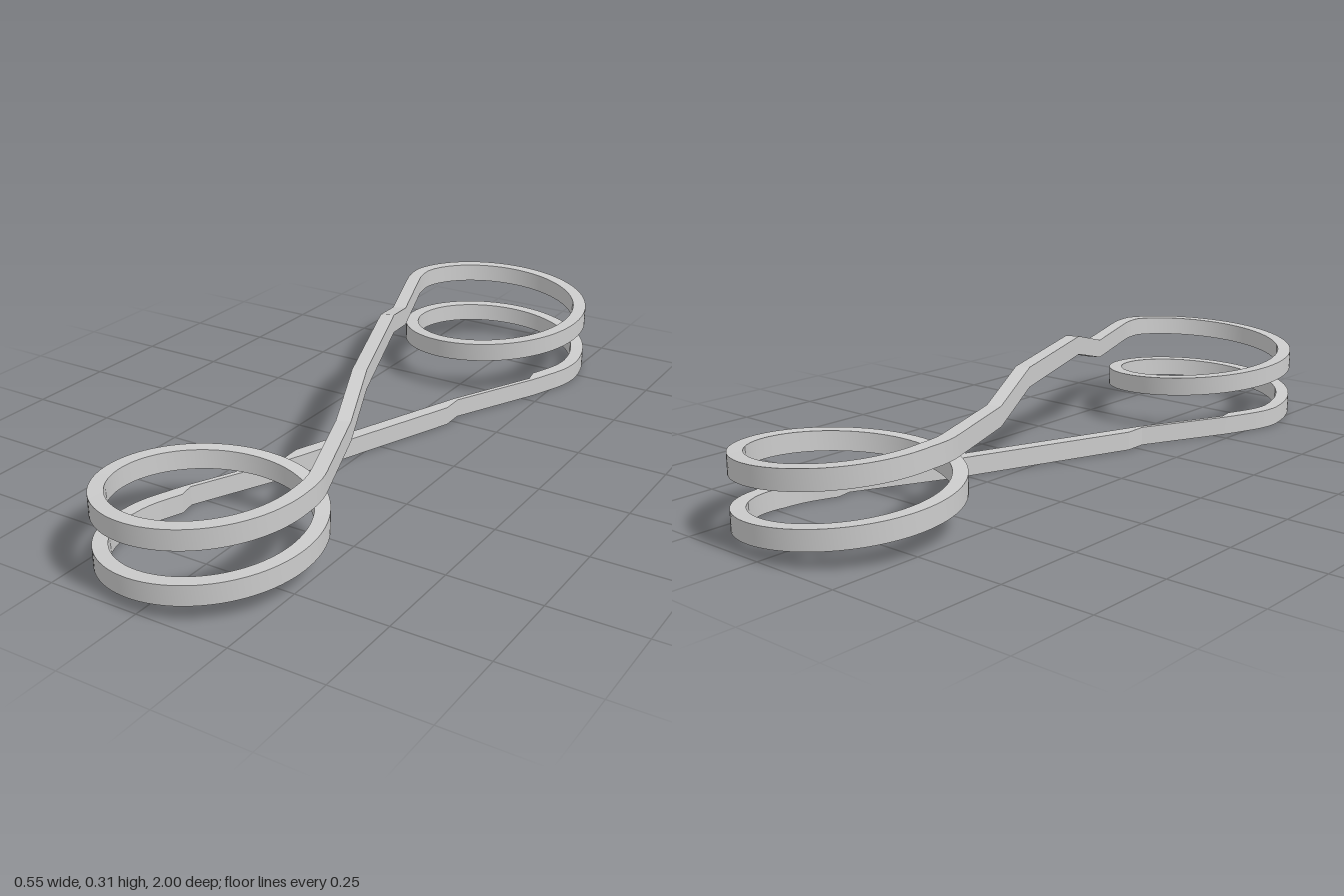
import * as THREE from 'three';

const R = 0.2585;          // centreline radius of the coils
const HALF = 0.0188;       // half thickness of the strip
const H = 0.052;           // strip height
const CZ = 0.7215;         // coil centre distance
const RISE = 0.205;        // height of the upper arm's underside
const TILT = Math.asin(R / CZ);             // arms are tangent to both coils
const END = CZ * Math.cos(TILT) ** 2;       // z of the tangent points

// Sweeps an upright rectangle along sections { x, y, z, nx, nz, w };
// each of the four sides has its own vertices, so long edges stay sharp.
function strip(name, sections, flat) {
  const pos = [], index = [];
  const corner = (s, k) => {
    const side = k === 1 || k === 2 ? s.w : -s.w;
    return [s.x + s.nx * side, s.y + (k > 1 ? H : 0), s.z + s.nz * side];
  };
  for (let k = 0; k < 4; k++) {
    const base = pos.length / 3;
    for (const s of sections) pos.push(...corner(s, k), ...corner(s, (k + 1) % 4));
    for (let i = 0; i < sections.length - 1; i++) {
      const a = base + 2 * i;
      index.push(a, a + 1, a + 3, a, a + 3, a + 2);
    }
  }
  const g = new THREE.BufferGeometry();
  g.setAttribute('position', new THREE.Float32BufferAttribute(pos, 3));
  g.setIndex(index);
  g.computeVertexNormals();
  const mesh = new THREE.Mesh(g, new THREE.MeshStandardMaterial({ color: 0xcccccc, flatShading: flat }));
  mesh.name = name;
  return mesh;
}

// Straight diagonal arm; half holds [z, y, half thickness, sideways offset]
// from the middle outwards and is turned half round for the other end.
function arm(name, dir, half) {
  const c = Math.cos(TILT), s = Math.sin(TILT) * dir;
  const rows = [
    ...half.map(([z, y, w, o]) => [-z, y, w, -o]).reverse(),
    ...half,
  ];
  return strip(name, rows.map(([z, y, w, o]) => ({
    x: z * s / c + o * c, y, z: z - o * s, nx: c, nz: -s, w,
  })), true);
}

// Coil of one and a half turns, level at both ends where it meets the arms
function coil(name) {
  const sections = [], total = 3 * Math.PI, n = 160;
  for (let i = 0; i <= n; i++) {
    const a = -TILT + (total + 2 * TILT) * i / n;
    const t = THREE.MathUtils.clamp(a / total, 0, 1);
    const nx = Math.cos(a), nz = Math.sin(a);
    sections.push({ x: R * nx, y: RISE * (1 - t), z: CZ + R * nz, nx, nz, w: HALF });
  }
  return strip(name, sections, false);
}

export function createModel() {
  const model = new THREE.Group();
  model.name = 'wireSpring';

  // Upper arm, stepped up over the crossing
  model.add(arm('upperArm', 1, [
    [0.19, RISE + H, HALF, 0],
    [0.38, RISE, HALF, 0],
    [END, RISE, HALF, 0],
  ]));

  // Lower arm, narrowed between the middle and the coils
  model.add(arm('lowerArm', -1, [
    [0.23, 0, HALF, 0],
    [0.285, 0, 0.007, 0.012],
    [0.54, 0, 0.007, -0.011],
    [0.575, 0, HALF, 0],
    [END, 0, HALF, 0],
  ]));

  // Coils at both ends
  const back = coil('backCoil');
  back.rotation.y = Math.PI;
  model.add(coil('frontCoil'), back);
  return model;
}
